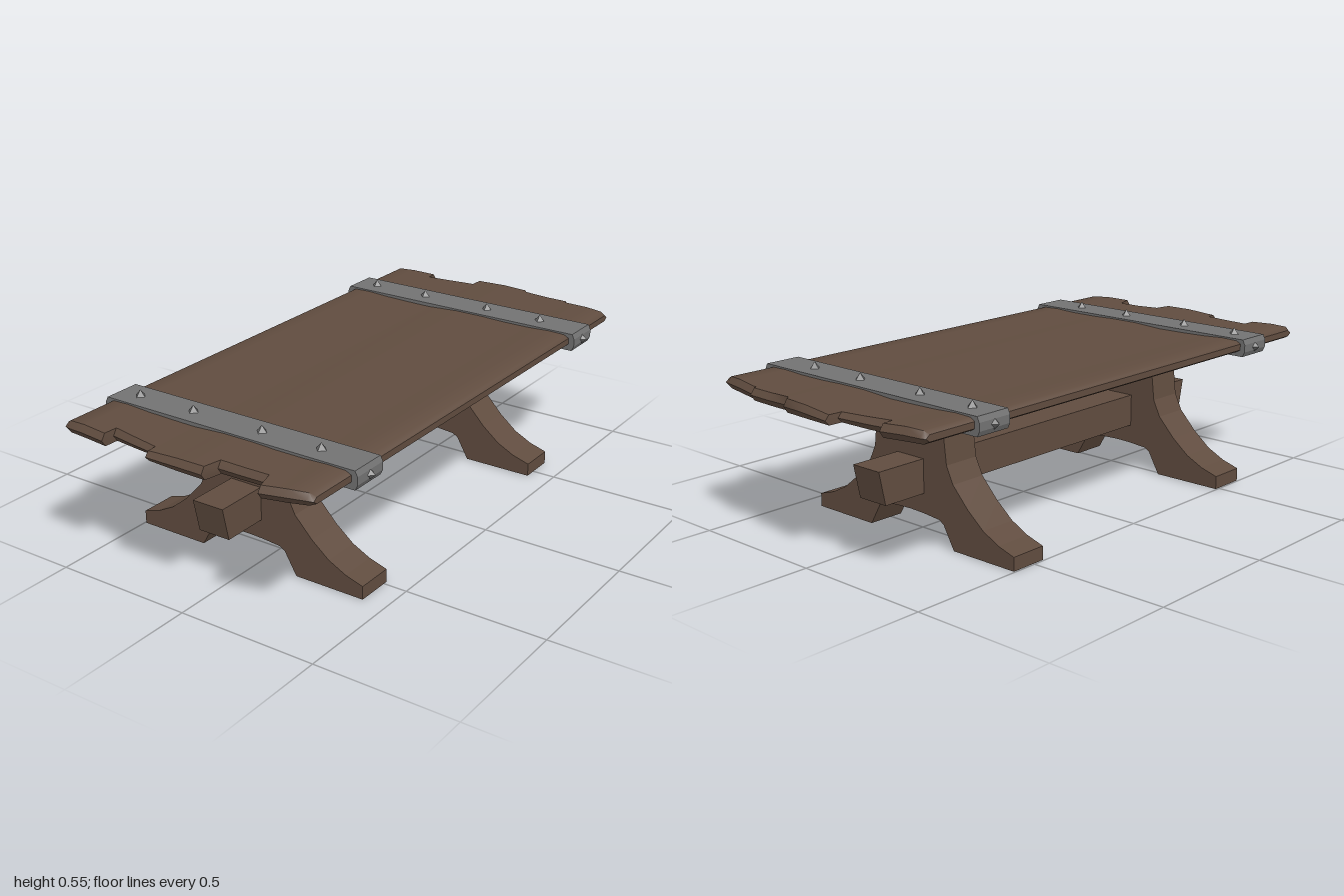
import * as THREE from 'three';
import { toCreasedNormals } from 'three/addons/utils/BufferGeometryUtils.js';

const wood = new THREE.MeshStandardMaterial({ name: 'dark wood', color: 0x604c3f });
const iron = new THREE.MeshStandardMaterial({ name: 'grey iron', color: 0x727272 });

function add(parent, name, geometry, material, x = 0, y = 0, z = 0) {
  const mesh = new THREE.Mesh(geometry, material);
  mesh.name = name;
  mesh.position.set(x, y, z);
  parent.add(mesh);
  return mesh;
}

// Extrudes a list of [x, y] points from z0 to z1
function slab(points, z0, z1) {
  const shape = new THREE.Shape(points.map(p => new THREE.Vector2(...p)));
  const geometry = new THREE.ExtrudeGeometry(shape, { depth: z1 - z0, bevelEnabled: false });
  return geometry.translate(0, 0, z0);
}

// Worn table top: lengthwise sections [x, back z, front z, bottom y, top y]
function tableTopGeometry() {
  const columns = [
    [-0.478, -0.935, 0.965, 0.486, 0.508],
    [-0.462, -0.943, 0.972, 0.477, 0.518],
    [-0.400, -0.950, 0.974, 0.475, 0.520],
    [-0.311, -0.960, 0.978, 0.471, 0.515],
    [-0.309, -0.922, 0.928, 0.471, 0.515],
    [-0.220, -0.937, 0.942, 0.474, 0.513],
    [-0.121, -0.952, 0.958, 0.479, 0.512],
    [-0.119, -1.000, 0.992, 0.479, 0.512],
    [0.000, -0.990, 0.994, 0.476, 0.519],
    [0.100, -0.981, 0.992, 0.474, 0.519],
    [0.112, -0.966, 0.930, 0.474, 0.519],
    [0.200, -0.963, 0.926, 0.473, 0.516],
    [0.288, -0.961, 0.924, 0.474, 0.516],
    [0.292, -0.950, 0.940, 0.474, 0.516],
    [0.308, -0.948, 0.990, 0.474, 0.516],
    [0.390, -0.935, 0.973, 0.476, 0.520],
    [0.455, -0.924, 0.955, 0.478, 0.518],
    [0.475, -0.918, 0.948, 0.486, 0.508],
  ];
  const n = 6, e = 0.015, positions = [], index = [];
  for (const [x, b, f, y0, y1] of columns) {
    const mid = (y0 + y1) / 2;
    const loop = [[mid, b], [y1, b + e], [y1, f - e], [mid, f], [y0, f - e], [y0, b + e]];
    loop.forEach(([y, z]) => positions.push(x, y, z));
  }
  for (let i = 0; i < columns.length - 1; i++) {
    for (let j = 0; j < n; j++) {
      const a = i * n + j, b = i * n + (j + 1) % n;
      index.push(a, b, b + n, a, b + n, a + n);
    }
  }
  const last = (columns.length - 1) * n;
  for (let j = 1; j < n - 1; j++) {
    index.push(0, j + 1, j, last, last + j, last + j + 1);
  }
  const geometry = new THREE.BufferGeometry();
  geometry.setAttribute('position', new THREE.Float32BufferAttribute(positions, 3));
  geometry.setIndex(index);
  return toCreasedNormals(geometry, 0.8);
}

// Four-sided pointed stud with its corners on the axes
const studGeometry = new THREE.ConeGeometry(0.02, 0.024, 4).toNonIndexed();
studGeometry.computeVertexNormals();

// Iron band around the top, with studs on its top and both ends
function makeBand(z) {
  const band = new THREE.Group();
  band.name = 'ironBand';
  const w = 0.497, lo = 0.462, hi = 0.525, c = 0.009;
  const outline = [
    [-w + c, lo], [w - c, lo], [w, lo + 2 * c], [w, hi - 2 * c],
    [w - c, hi], [-w + c, hi], [-w, hi - 2 * c], [-w, lo + 2 * c],
  ];
  add(band, 'strap', slab(outline, -0.066, 0.066), iron);
  for (const x of [-0.405, -0.18, 0.095, 0.32]) {
    add(band, 'topStud', studGeometry, iron, x, 0.536, 0);
  }
  for (const s of [-1, 1]) {
    add(band, 'endStud', studGeometry, iron, s * 0.504, 0.492, 0).rotation.z = -s * Math.PI / 2;
  }
  band.position.z = z;
  return band;
}

// Splayed trestle outline: one half mirrored about its own centre line
function trestleGeometry() {
  const half = [
    [0, 0.098], [0.06, 0.096], [0.13, 0.09], [0.15, 0.078], [0.195, 0], [0.455, 0],
    [0.455, 0.047], [0.39, 0.067], [0.325, 0.1], [0.26, 0.153], [0.195, 0.222],
    [0.167, 0.28], [0.145, 0.465], [0.145, 0.488],
  ];
  const mirrored = half.slice(1).reverse().map(([x, y]) => [-x, y]);
  return slab([...half, ...mirrored], -0.067, 0.067);
}

export function createModel() {
  const table = new THREE.Group();
  table.name = 'trestleTable';

  add(table, 'tableTop', tableTopGeometry(), wood);
  table.add(makeBand(0.698), makeBand(-0.672));

  const trestle = trestleGeometry();
  add(table, 'frontTrestle', trestle, wood, -0.04, 0, 0.553);
  add(table, 'backTrestle', trestle, wood, -0.04, 0, -0.522);

  // Stretcher beam, longer along its top edge
  const beam = slab([[-0.81, 0.281], [-0.785, 0.164], [0.755, 0.164], [0.78, 0.281]], -0.06, 0.06);
  beam.rotateY(Math.PI / 2);
  add(table, 'stretcher', beam, wood, -0.042, 0, 0);

  return table;
}
